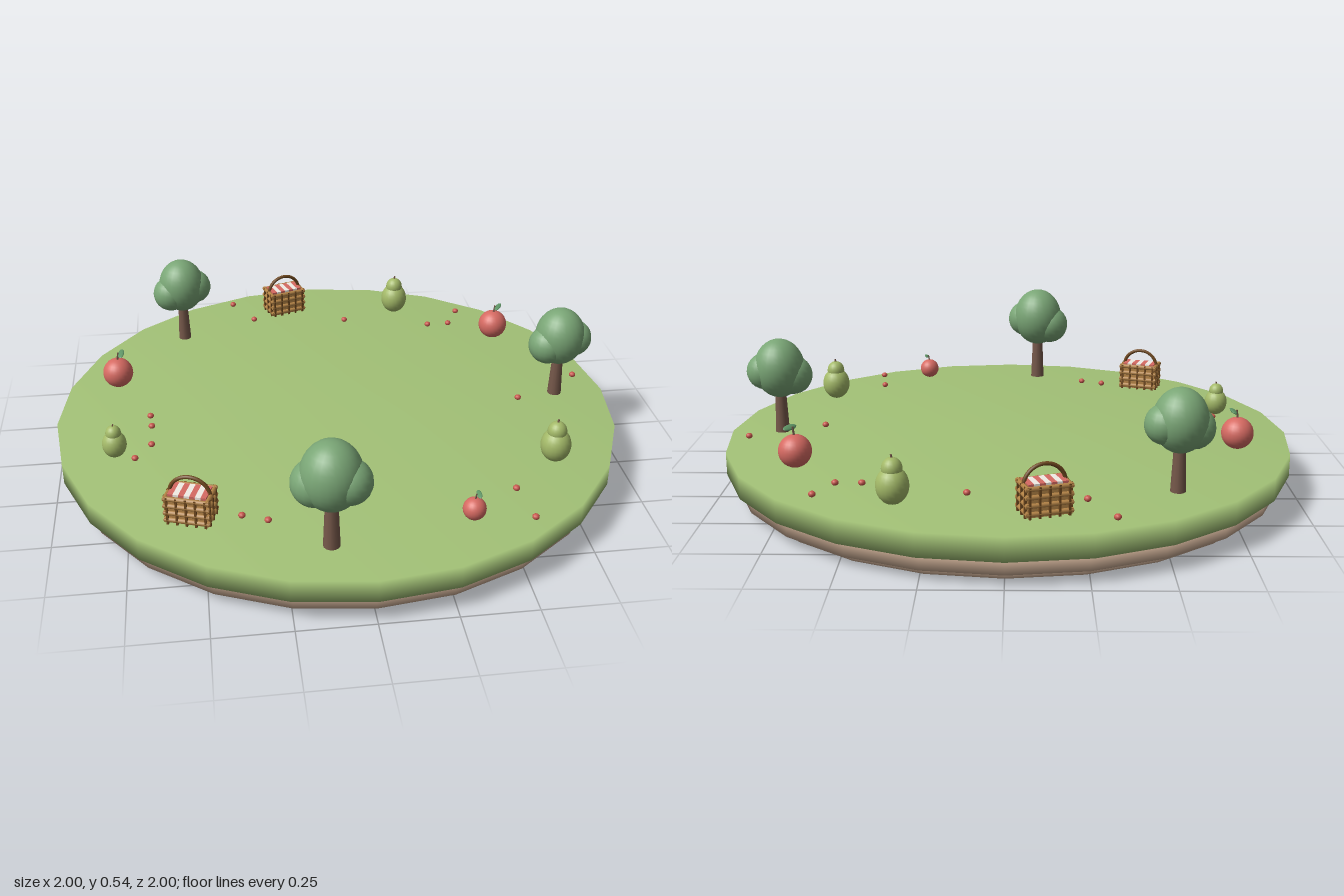
import * as THREE from 'three';

const mat = (color, extra = {}) => new THREE.MeshStandardMaterial({ color, ...extra });
const GROUND = 0.163;

export function createModel() {
  const root = new THREE.Group();
  root.name = 'picnicIsland';
  const grass = mat(0xa3c277), earth = mat(0xd0b198), foliage = mat(0x7aa676), bark = mat(0x76584a);
  const red = mat(0xd66a62), white = mat(0xf2ece4), green = mat(0xa3b968), leafMat = mat(0x5f9566);
  const wicker = mat(0xb58446), darkWicker = mat(0x70491f), berryRed = mat(0xc9584e);

  function add(parent, name, geometry, material, x = 0, y = 0, z = 0) {
    const mesh = new THREE.Mesh(geometry, material);
    mesh.name = name;
    mesh.position.set(x, y, z);
    parent.add(mesh);
    return mesh;
  }

  // Ellipsoid helper
  function blob(parent, name, material, pos, radii, detail = 20) {
    const mesh = add(parent, name, new THREE.SphereGeometry(1, detail, Math.ceil(detail * 0.7)), material, ...pos);
    mesh.scale.set(...radii);
    return mesh;
  }

  // Stepped 24-sided island, each layer shaded softly over its rim
  function layer(name, radius, bottom, top, material) {
    const profile = [[0, bottom], [radius, bottom], [radius, top], [0, top]].map(p => new THREE.Vector2(...p));
    add(root, name, new THREE.LatheGeometry(profile, 24), material);
  }
  layer('grassTop', 1, 0.085, GROUND, grass);
  layer('upperEarth', 0.965, 0.03, 0.085, earth);
  layer('lowerEarth', 0.92, 0, 0.03, earth);

  // Tree: tapered trunk, tall crown and two side lobes
  function tree() {
    const g = new THREE.Group();
    g.name = 'tree';
    add(g, 'trunk', new THREE.CylinderGeometry(0.018, 0.025, 0.17, 12), bark, 0, 0.085, 0);
    blob(g, 'crown', foliage, [0, 0.236, 0], [0.09, 0.106, 0.09], 24);
    blob(g, 'leftLobe', foliage, [0.05, 0.225, 0.008], [0.066, 0.066, 0.066]);
    blob(g, 'rightLobe', foliage, [-0.047, 0.208, 0], [0.069, 0.069, 0.069]);
    return g;
  }

  // Pear: round body, narrow neck, stem
  function pear() {
    const g = new THREE.Group();
    g.name = 'pear';
    blob(g, 'body', green, [0, 0.062, 0], [0.052, 0.06, 0.052]);
    blob(g, 'neck', green, [0, 0.115, 0], [0.033, 0.036, 0.033]);
    add(g, 'stem', new THREE.CylinderGeometry(0.003, 0.004, 0.02, 6), bark, 0, 0.15, 0).rotation.z = -0.2;
    return g;
  }

  // Apple: round body, leaning stem, flat leaf
  function apple() {
    const g = new THREE.Group();
    g.name = 'apple';
    blob(g, 'body', red, [0, 0.07, 0], [0.055, 0.055, 0.055], 24);
    add(g, 'stem', new THREE.CylinderGeometry(0.003, 0.004, 0.035, 6), bark, 0.003, 0.134, 0).rotation.z = -0.15;
    blob(g, 'leaf', leafMat, [0.017, 0.147, 0], [0.013, 0.005, 0.033], 12).rotation.z = 0.4;
    return g;
  }

  // Basket: wicker box with woven bands, posts, striped cloth and arched handle
  function basket() {
    const g = new THREE.Group();
    g.name = 'basket';
    const w = 0.136, d = 0.088;
    add(g, 'basketBody', new THREE.BoxGeometry(w, 0.09, d), wicker, 0, 0.052, 0);
    for (let i = 0; i < 4; i++) {
      const y = 0.018 + i * 0.026;
      for (const s of [-1, 1]) {
        const long = add(g, 'wovenBand', new THREE.CylinderGeometry(0.008, 0.008, w + 0.012, 8), wicker, 0, y, s * d / 2);
        long.rotation.z = Math.PI / 2;
        const short = add(g, 'wovenBand', new THREE.CylinderGeometry(0.008, 0.008, d + 0.012, 8), wicker, s * w / 2, y, 0);
        short.rotation.x = Math.PI / 2;
      }
    }
    const post = new THREE.BoxGeometry(0.007, 0.098, 0.007);
    for (const s of [-1, 1]) {
      for (let i = 0; i < 5; i++) add(g, 'post', post, darkWicker, (i - 2) * 0.031, 0.053, s * (d / 2 + 0.004));
      for (let i = 0; i < 3; i++) add(g, 'post', post, darkWicker, s * (w / 2 + 0.004), 0.053, (i - 1) * 0.034);
    }
    for (let i = 0; i < 7; i++) {
      add(g, 'clothStripe', new THREE.BoxGeometry(0.018, 0.014, 0.068), i % 2 ? white : red, (i - 3) * 0.018, 0.1, 0);
    }
    const handle = add(g, 'handle', new THREE.TorusGeometry(0.067, 0.0065, 8, 24, Math.PI), darkWicker, 0, 0.09, 0);
    handle.scale.y = 0.98;
    return g;
  }

  // Eleven items evenly spaced on a ring: [builder, size, turn]
  const items = [
    [tree, 1, 0.2], [pear, 1, 0], [apple, 0.68, 0], [tree, 1.09, -0.25], [basket, 1, -0.33], [pear, 0.8, 0],
    [apple, 1, 0], [tree, 0.98, 0.3], [basket, 1, 0.33], [pear, 1, 0], [apple, 1, -0.45],
  ];
  items.forEach(([build, size, turn], i) => {
    const a = i / items.length * Math.PI * 2;
    const g = build();
    g.position.set(Math.cos(a) * 0.82, GROUND, Math.sin(a) * 0.82);
    g.rotation.y = turn;
    g.scale.setScalar(size);
    root.add(g);
  });

  // Scattered berries
  const berries = [
    [-0.33, -0.87], [-0.25, -0.72], [0.12, -0.67], [0.455, -0.585], [0.54, -0.585], [0.595, -0.69],
    [0.92, -0.1], [0.67, 0.04], [-0.67, 0], [-0.665, 0.07], [-0.765, 0.16], [-0.665, 0.19],
    [-0.72, 0.27], [-0.38, 0.64], [-0.3, 0.675], [0.515, 0.605], [0.535, 0.765],
  ];
  for (const [x, z] of berries) blob(root, 'berry', berryRed, [x, GROUND + 0.012, z], [0.012, 0.01, 0.012], 10);

  return root;
}
